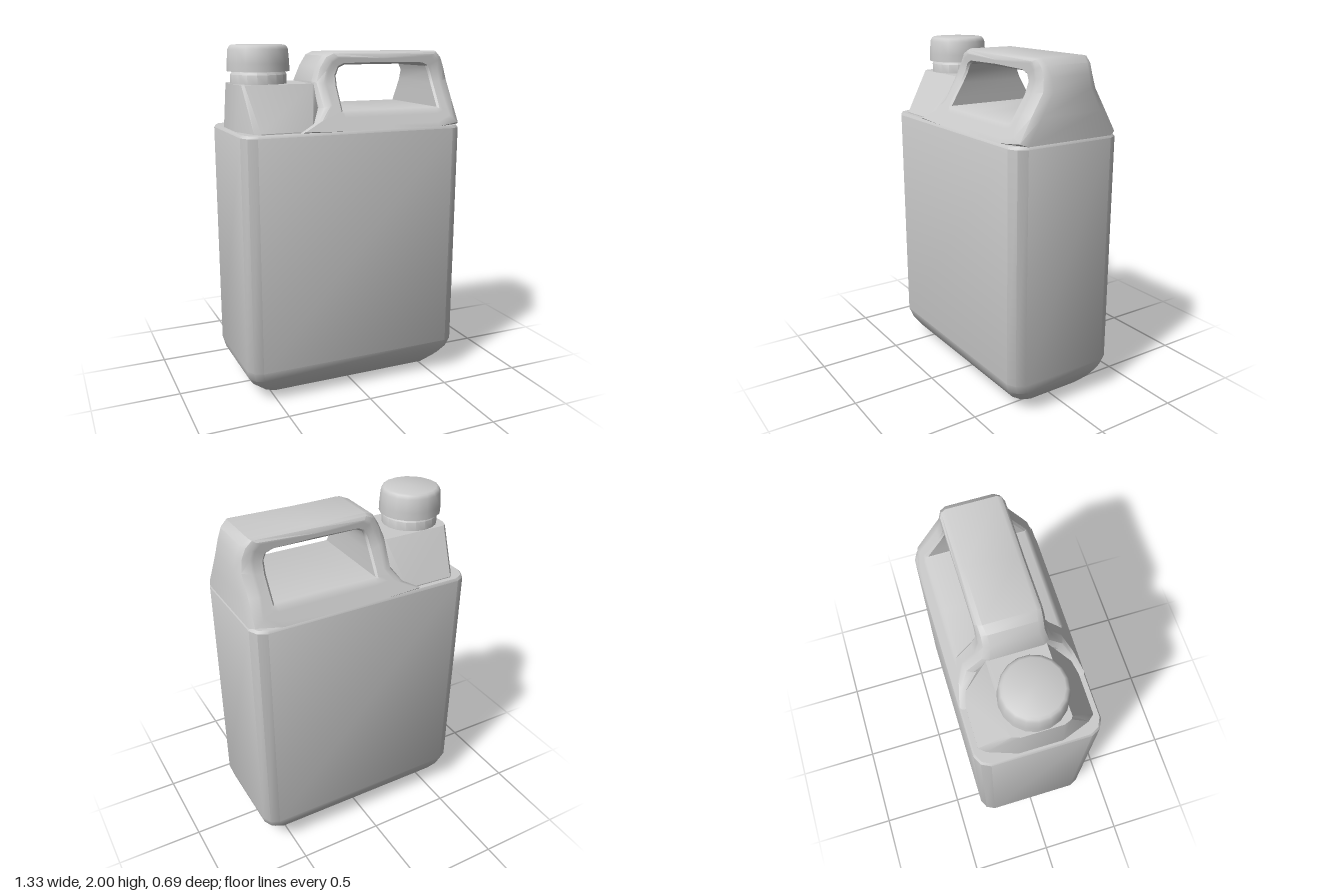
import * as THREE from 'three';
import { toCreasedNormals } from 'three/addons/utils/BufferGeometryUtils.js';

const material = new THREE.MeshStandardMaterial({ color: 0xcccccc });

// Skin a list of closed loops; either wrap last loop to first or cap both ends.
function skin(rows, wrap, crease = 0.6) {
  const n = rows[0].length;
  const pos = rows.flat(2);
  const index = [];
  const last = wrap ? rows.length : rows.length - 1;
  for (let i = 0; i < last; i++) {
    const k = (i + 1) % rows.length;
    for (let j = 0; j < n; j++) {
      const m = (j + 1) % n;
      const a = i * n + j, b = i * n + m, c = k * n + m, d = k * n + j;
      index.push(a, b, c, a, c, d);
    }
  }
  if (!wrap) {
    for (const [r, top] of [[0, false], [rows.length - 1, true]]) {
      for (let j = 1; j < n - 1; j++) {
        const a = r * n, b = r * n + j, c = r * n + j + 1;
        index.push(...(top ? [a, b, c] : [a, c, b]));
      }
    }
  }
  const g = new THREE.BufferGeometry();
  g.setAttribute('position', new THREE.Float32BufferAttribute(pos, 3));
  g.setIndex(index);
  return toCreasedNormals(g, crease);
}

// Rectangle with softened corners, counter-clockwise from above
function softRect(y, hx, hz) {
  const q = [[0, 0.075], [0.025, 0.025], [0.075, 0]].map(([a, b]) => [hx - a, hz - b]);
  const r = [...q].reverse();
  return [
    ...q.map(([x, z]) => [x, y, -z]),
    ...r.map(([x, z]) => [-x, y, -z]),
    ...q.map(([x, z]) => [-x, y, z]),
    ...r.map(([x, z]) => [x, y, z]),
  ];
}

// Half depth of the tapering shoulder at a height
const taper = [[1.54, 0.345], [1.66, 0.277], [1.80, 0.19], [1.84, 0.175], [2, 0.172]];
function halfDepth(y) {
  for (let i = 1; i < taper.length; i++) {
    const [y0, w0] = taper[i - 1], [y1, w1] = taper[i];
    if (y <= y1) return w0 + (w1 - w0) * (y - y0) / (y1 - y0);
  }
  return 0.172;
}

// Handle block: each entry pairs an outer and a hole point, with the outer bevel
function handleGeometry() {
  const pairs = [
    [0.665, 1.54, 0.52, 1.645, 0.075], [0.665, 1.68, 0.52, 1.70, 0.075],
    [0.663, 1.80, 0.52, 1.78, 0.07], [0.645, 1.87, 0.515, 1.84, 0.055],
    [0.62, 1.925, 0.50, 1.875, 0.045], [0.58, 1.96, 0.46, 1.89, 0.035],
    [0.22, 1.96, 0.22, 1.89, 0.035], [-0.09, 1.96, -0.02, 1.89, 0.035],
    [-0.14, 1.94, -0.055, 1.875, 0.045], [-0.18, 1.88, -0.075, 1.83, 0.05],
    [-0.21, 1.80, -0.08, 1.77, 0.05], [-0.20, 1.66, -0.08, 1.69, 0.05],
    [-0.25, 1.585, -0.08, 1.655, 0.04], [-0.34, 1.54, -0.08, 1.645, 0.02],
    [-0.08, 1.54, -0.07, 1.645, 0], [0.20, 1.54, 0.20, 1.645, 0],
    [0.50, 1.54, 0.51, 1.645, 0],
  ];
  const rows = pairs.map(([ox, oy, ix, iy, bevel]) => {
    const len = Math.hypot(ix - ox, iy - oy);
    const b = Math.min(bevel, len * 0.5);
    const rim = 0.012;
    const steps = [[0, bevel], [b / 3, bevel / 3], [b, 0]];
    for (const f of [0.25, 0.5, 0.75]) steps.push([b + (len - rim - b) * f, 0]);
    steps.push([len - rim, 0], [len, rim]);
    const front = steps.map(([d, cut]) => {
      const t = d / len;
      const y = oy + (iy - oy) * t;
      return [ox + (ix - ox) * t, y, halfDepth(y) - cut];
    });
    return [...[...front].reverse(), ...front.map(([x, y, z]) => [x, y, -z])];
  });
  return skin(rows, true);
}

// Neck base: chamfered foot that narrows in depth to a flat top
function neckBaseGeometry() {
  const foot = [[-0.19, 0.25], [-0.27, 0.31], [-0.56, 0.31], [-0.59, 0.275], [-0.645, 0.12]];
  const head = [[-0.19, 0.15], [-0.21, 0.16], [-0.60, 0.16], [-0.615, 0.15], [-0.63, 0.11]];
  const loop = (pts, y) => [
    ...pts.map(([x, z]) => [x, y, -z]),
    ...[...pts].reverse().map(([x, z]) => [x, y, z]),
  ];
  return skin([loop(foot, 1.53), loop(foot, 1.545), loop(head, 1.79)], false, 0.5);
}

function turned(points, sides) {
  const g = new THREE.LatheGeometry(points.map(([r, y]) => new THREE.Vector2(r, y)), sides);
  g.deleteAttribute('uv');
  g.deleteAttribute('normal');
  return toCreasedNormals(g, 0.75);
}

export function createModel() {
  const group = new THREE.Group();
  const add = (name, geometry, x = 0) => {
    const mesh = new THREE.Mesh(geometry, material);
    mesh.name = name;
    mesh.position.x = x;
    group.add(mesh);
  };

  // Tank with rounded underside
  const sections = [
    [0, 0.45, 0.155], [0.03, 0.56, 0.235], [0.085, 0.615, 0.285],
    [0.14, 0.65, 0.322], [0.20, 0.665, 0.345], [1.525, 0.665, 0.345], [1.54, 0.657, 0.337],
  ];
  add('tank', skin(sections.map((s) => softRect(...s)), false));

  // Shoulder with the grip opening
  add('handle', handleGeometry());

  // Spout and screw cap
  add('neckBase', neckBaseGeometry());
  add('neckCollar', turned([[0, 1.78], [0.158, 1.78], [0.158, 1.84], [0.145, 1.855], [0.145, 1.88], [0, 1.88]], 18), -0.47);
  add('cap', turned([[0, 1.857], [0.175, 1.857], [0.174, 1.90], [0.168, 1.975], [0.158, 1.994], [0.145, 2], [0, 2]], 18), -0.47);

  return group;
}
